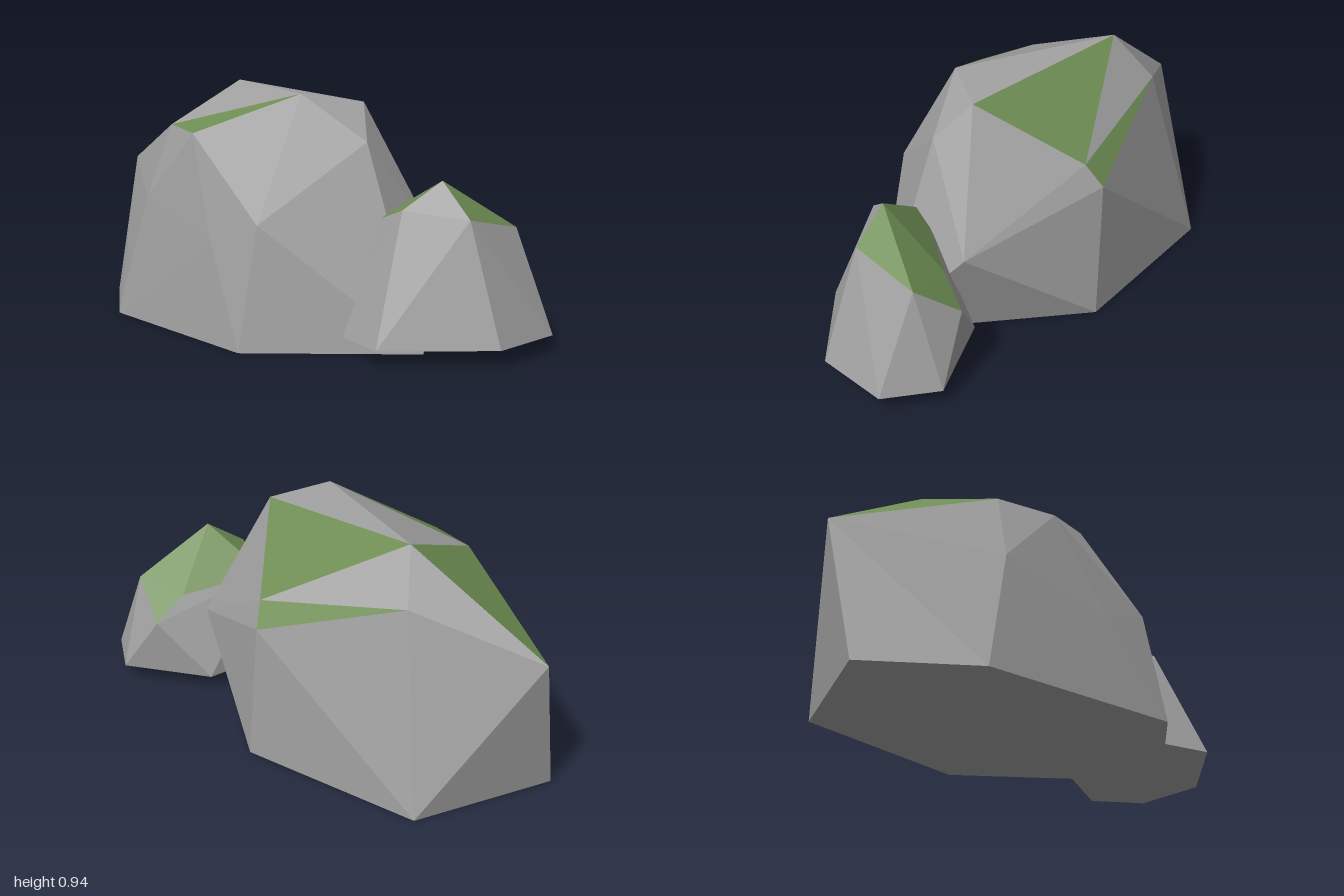
import * as THREE from 'three';
import { ConvexGeometry } from 'three/addons/geometries/ConvexGeometry.js';

const stone = new THREE.MeshStandardMaterial({ color: 0xa0a0a0 });
stone.name = 'stone';
const moss = new THREE.MeshStandardMaterial({ color: 0x6d8c52 });
moss.name = 'moss';

// Corners of each boulder, one letter per corner
const LARGE = {
  // foot
  A: [-1, 0, -0.2], B: [-0.78, 0, 0.2], C: [-0.07, 0, 0.6],
  D: [0.57, 0, 0.38], E: [0.16, 0, -0.39], I: [-0.57, 0, -0.61],
  // flanks
  P: [-0.97, 0.58, -0.34], G: [-0.64, 0.49, 0.2], N: [-0.25, 0.38, 0.44],
  F: [-0.03, 0.46, 0.51], W: [0.51, 0.37, 0.03], Y: [0.12, 0.56, -0.39],
  // crown
  Q: [-0.56, 0.78, 0.13], R: [-0.39, 0.765, 0.29], S: [0.04, 0.925, 0.24],
  T: [-0.43, 0.94, -0.26], U: [0.24, 0.89, 0.09], V: [0.3, 0.75, 0.23],
  X: [0.13, 0.65, -0.32], Z: [-0.47, 0.76, -0.42],
};
const SMALL = {
  // foot
  A: [0.46, 0.06, 0.61], B: [0.87, 0.06, 0.45], C: [1, 0.06, 0.17],
  D: [0.88, 0.06, -0.03], E: [0.49, 0.06, 0], F: [0.22, 0.06, 0.41],
  // crown
  K: [0.61, 0.63, 0.3], L: [0.34, 0.46, 0.26], N: [0.49, 0.53, 0.4],
  O: [0.73, 0.5, 0.36], M: [0.84, 0.44, 0.09], J: [0.71, 0.3, -0.04],
  H: [0.63, 0.4, 0.06],
};

// Faceted boulder: a hull round the corners, with the listed facets in moss
function boulder(name, corners, mossFacets) {
  const points = Object.values(corners).map((c) => new THREE.Vector3(...c));
  const letters = Object.keys(corners);
  const position = new ConvexGeometry(points).getAttribute('position');
  const mossy = new Set(mossFacets.map((f) => [...f].sort().join('')));
  const faces = { stone: [], moss: [] };
  const v = new THREE.Vector3();

  for (let i = 0; i < position.count; i += 3) {
    const key = [];
    const coords = [];
    for (let j = i; j < i + 3; j++) {
      v.fromBufferAttribute(position, j);
      key.push(letters[points.findIndex((p) => p.distanceTo(v) < 1e-4)]);
      coords.push(v.x, v.y, v.z);
    }
    faces[mossy.has(key.sort().join('')) ? 'moss' : 'stone'].push(...coords);
  }

  const group = new THREE.Group();
  group.name = name;
  for (const [part, material] of [['stone', stone], ['moss', moss]]) {
    const geometry = new THREE.BufferGeometry();
    geometry.setAttribute('position', new THREE.Float32BufferAttribute(faces[part], 3));
    geometry.computeVertexNormals();
    const mesh = new THREE.Mesh(geometry, material);
    mesh.name = name + (part === 'moss' ? 'Moss' : 'Stone');
    group.add(mesh);
  }
  return group;
}

export function createModel() {
  const model = new THREE.Group();
  model.name = 'mossyRocks';
  model.add(
    boulder('largeRock', LARGE, ['PTQ', 'QRS', 'TUX', 'ZXY']),
    boulder('smallRock', SMALL, ['KNL', 'KOM', 'KMJ', 'KJH', 'KHL', 'KHM', 'HJM']),
  );
  return model;
}
